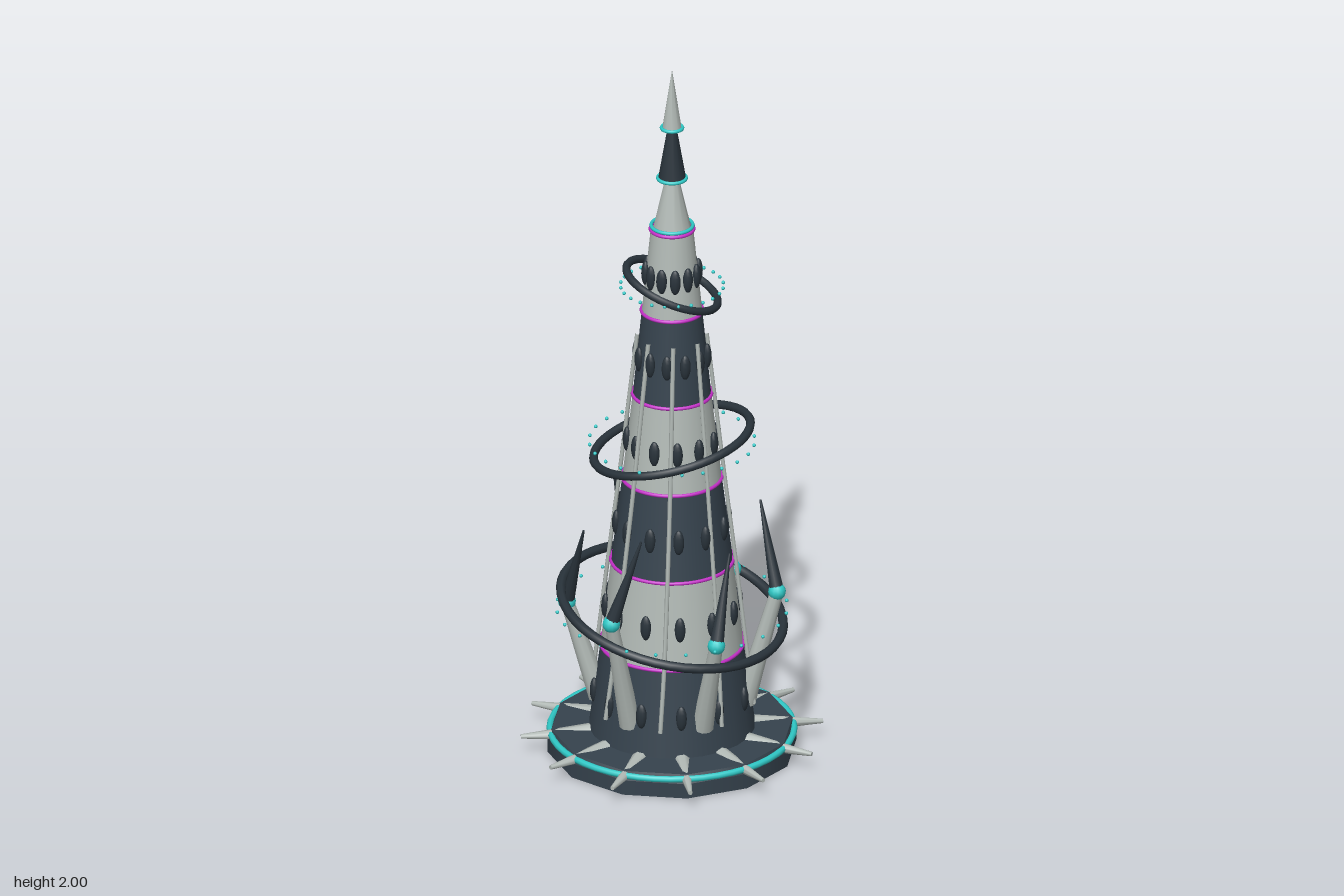
import * as THREE from 'three';

export function createModel() {
  const model = new THREE.Group();
  model.name = 'spireTower';
  const material = (name, color, flatShading = false) => {
    const m = new THREE.MeshStandardMaterial({ color, flatShading });
    m.name = name;
    return m;
  };
  const slate = material('slate', 0x36434e);
  const charcoal = material('charcoal', 0x29333b);
  const stone = material('paleStone', 0xb2bab6);
  const cyan = material('cyan', 0x30cac8);
  const magenta = material('magenta', 0xc42fc8);

  const add = (name, geometry, mat) => {
    const mesh = new THREE.Mesh(geometry, mat);
    mesh.name = name;
    model.add(mesh);
    return mesh;
  };
  const polar = (r, y, deg) => {
    const a = THREE.MathUtils.degToRad(deg);
    return new THREE.Vector3(r * Math.cos(a), y, r * Math.sin(a));
  };
  const UP = new THREE.Vector3(0, 1, 0);
  // Upright frustum between two heights
  const frustum = (name, y0, y1, r0, r1, sides, mat) => {
    const g = new THREE.CylinderGeometry(r1, r0, y1 - y0, sides);
    add(name, g, mat).position.y = (y0 + y1) / 2;
  };
  // Tapered rod from point a to point b
  const rod = (name, a, b, ra, rb, mat, sides = 10) => {
    const d = b.clone().sub(a);
    const m = add(name, new THREE.CylinderGeometry(rb, ra, d.length(), sides), mat);
    m.position.copy(a).add(b).multiplyScalar(0.5);
    m.quaternion.setFromUnitVectors(UP, d.normalize());
  };
  const ball = (name, p, r, mat, detail = 12) => {
    add(name, new THREE.SphereGeometry(r, detail, Math.max(6, detail * 0.7 | 0)), mat).position.copy(p);
  };
  const hoop = (name, y, r, tube, mat) => {
    const g = new THREE.TorusGeometry(r, tube, 8, 48).rotateX(Math.PI / 2);
    const m = add(name, g, mat);
    m.position.y = y;
    return m;
  };

  // Twelve-sided plinth with glowing rim and radial spikes
  frustum('base', 0, 0.042, 0.335, 0.335, 12, slate);
  frustum('baseTop', 0.042, 0.066, 0.335, 0.325, 12, slate);
  hoop('baseRim', 0.054, 0.327, 0.009, cyan);
  for (let i = 0; i < 12; i++) {
    rod('baseSpike', polar(0.2, 0.055, i * 30), polar(0.407, 0.05, i * 30), 0.025, 0.006, stone, 8);
  }

  // Tapering tower tiers with trim bands and oval pods
  const heights = [0.06, 0.31, 0.555, 0.8, 1.045, 1.29, 1.53];
  const radii = [0.224, 0.191, 0.163, 0.133, 0.105, 0.081, 0.057];
  for (let i = 0; i < 6; i++) {
    frustum('tier', heights[i], heights[i + 1], radii[i], radii[i + 1], 24, i % 2 ? stone : slate);
    hoop('tierBand', heights[i + 1], radii[i + 1] + 0.001, 0.005, magenta);
    const y = (heights[i] + heights[i + 1]) / 2 - 0.008;
    const r = (radii[i] + radii[i + 1]) / 2;
    for (let k = 0; k < 12; k++) {
      const deg = k * 30 + (i === 4 ? 15 : 0);
      const pod = add('pod', new THREE.SphereGeometry(1, 10, 8), charcoal);
      pod.scale.set(0.012, 0.036, 0.015);
      pod.position.copy(polar(r + 0.002, y, deg));
      pod.rotation.y = -THREE.MathUtils.degToRad(deg);
    }
  }

  // Thin ribs climbing the tower with a slight twist
  const ribProfile = [[0.222, 0.14], [0.2, 0.31], [0.171, 0.555], [0.141, 0.8], [0.113, 1.045], [0.093, 1.22]];
  for (let i = 0; i < 8; i++) {
    const points = ribProfile.map(([r, y], k) => polar(r, y, i * 45 - k * 2));
    add('rib', new THREE.TubeGeometry(new THREE.CatmullRomCurve3(points), 20, 0.006, 6), stone);
  }

  // Buttress arms, each with a joint and a horn leaning inward
  for (let i = 0; i < 6; i++) {
    const deg = -18 + i * 60;
    const y = i % 2 ? 0.468 : 0.415;
    const joint = polar(0.282, y, deg);
    rod('arm', polar(0.195, 0.14, deg), joint, 0.03, 0.018, stone);
    ball('joint', joint, 0.024, cyan);
    rod('horn', joint, polar(0.24, y + 0.24, deg - 15), 0.02, 0.003, charcoal);
  }

  // Tilted orbit rings, each with a level circle of lights: y, radius, tube, x slope, z slope
  const orbits = [
    [0.412, 0.303, 0.013, -0.08, -0.21],
    [0.903, 0.216, 0.012, 0.17, 0.17],
    [1.362, 0.132, 0.011, -0.33, -0.23],
  ];
  for (const [y, r, tube, sx, sz] of orbits) {
    const normal = new THREE.Vector3(-sx, 1, -sz).normalize();
    hoop('orbitRing', y, r, tube, charcoal).quaternion.setFromUnitVectors(UP, normal);
    for (let k = 0; k < 24; k++) ball('light', polar(r + 0.006, y, k * 15), 0.005, cyan, 8);
  }

  // Stacked pinnacle
  hoop('pinnacleBand', 1.54, 0.056, 0.005, cyan);
  frustum('pinnacleLower', 1.53, 1.68, 0.052, 0.018, 12, stone);
  hoop('pinnacleBand', 1.68, 0.038, 0.005, cyan);
  frustum('pinnacleMiddle', 1.677, 1.835, 0.038, 0.011, 12, charcoal);
  hoop('pinnacleBand', 1.828, 0.028, 0.005, cyan);
  frustum('pinnacleTip', 1.825, 2, 0.027, 0, 10, stone);

  return model;
}
